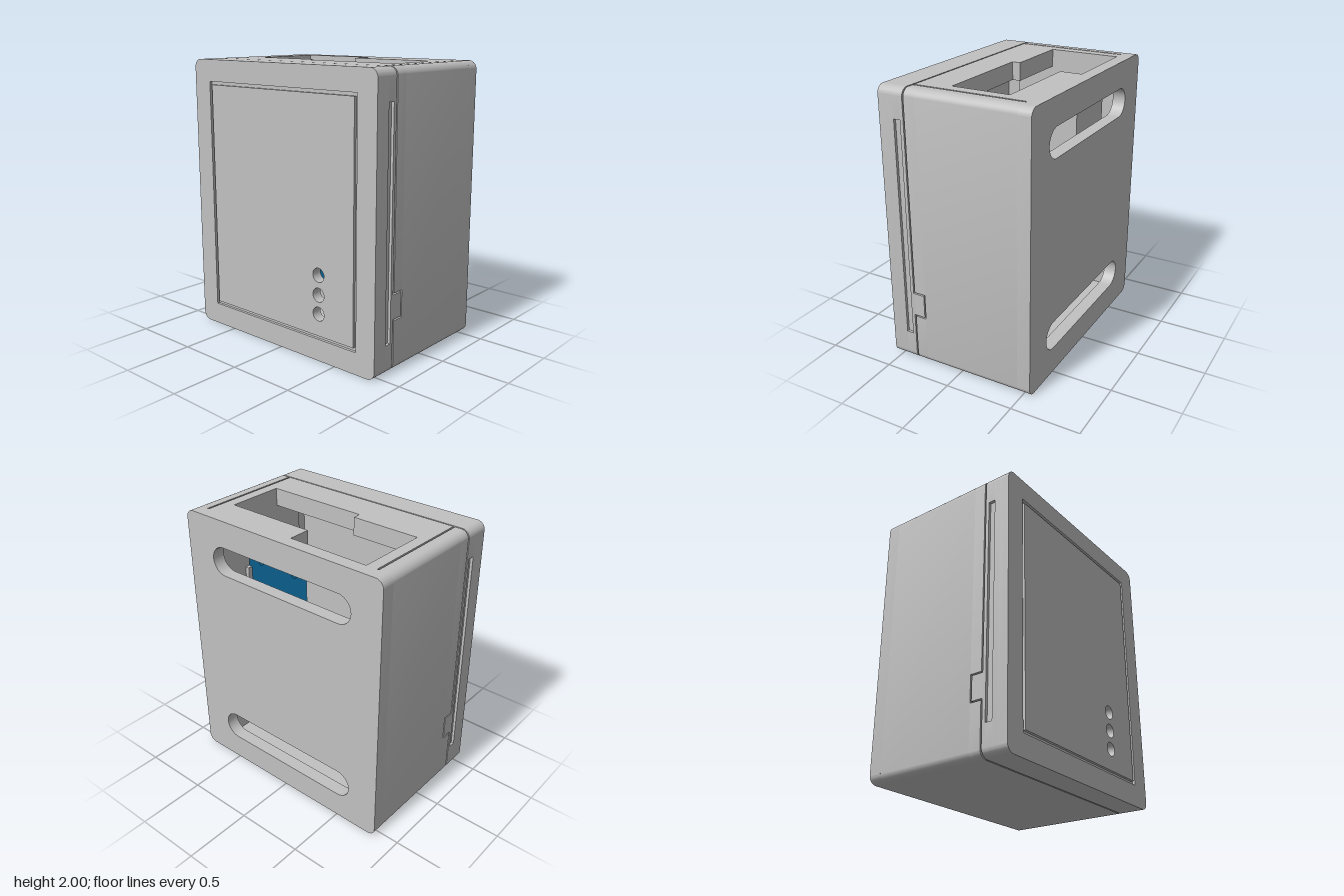
import * as THREE from 'three';
import { toCreasedNormals } from 'three/addons/utils/BufferGeometryUtils.js';

const W = 0.84, H = 2, R = 0.06, IN = 0.64;
const BACK = -0.555, INNER_BACK = -0.46, SEAM = 0.355, LID = 0.365, FRONT = 0.555;

export function createModel() {
  const model = new THREE.Group();
  model.name = 'electronicsEnclosure';
  const mat = (name, color) => {
    const m = new THREE.MeshStandardMaterial({ color });
    m.name = name;
    return m;
  };
  const grey = mat('caseGrey', 0xc1c1c1);
  const blue = mat('boardBlue', 0x0a5c8a);
  const black = mat('chipBlack', 0x3a3a3a);

  const add = (name, geometry, material) => {
    const mesh = new THREE.Mesh(geometry, material);
    mesh.name = name;
    model.add(mesh);
    return mesh;
  };
  // Box given by its limits on each axis
  const box = (name, x0, x1, y0, y1, z0, z1, material = grey) => {
    const g = new THREE.BoxGeometry(x1 - x0, y1 - y0, z1 - z0);
    g.translate((x0 + x1) / 2, (y0 + y1) / 2, (z0 + z1) / 2);
    return add(name, g, material);
  };
  // Outline in x-y extruded between two depths
  const slab = (name, shape, z0, z1, material = grey) => {
    const g = new THREE.ExtrudeGeometry(shape, { depth: z1 - z0, bevelEnabled: false, curveSegments: 12 });
    g.translate(0, 0, z0);
    return add(name, toCreasedNormals(g, 0.6), material);
  };
  const trace = (path, pts) => {
    pts.forEach(([x, y], i) => (i ? path.lineTo(x, y) : path.moveTo(x, y)));
    path.closePath();
    return path;
  };
  const rect = (path, x0, x1, y0, y1) => trace(path, [[x0, y0], [x1, y0], [x1, y1], [x0, y1]]);
  const circle = (x, y, r) => new THREE.Path().absarc(x, y, r, 0, Math.PI * 2, true);

  // Rounded case outline, optionally shrunk or with a notch down both sides
  const outline = (inset = 0, notch = 0) => {
    const w = W - inset, b = inset, t = H - inset, r = R - inset / 2;
    const s = new THREE.Shape();
    s.moveTo(-w + r, b);
    s.lineTo(w - r, b);
    s.absarc(w - r, b + r, r, -Math.PI / 2, 0, false);
    if (notch) [[w, 0.21], [w - notch, 0.21], [w - notch, 1.79], [w, 1.79]].forEach(p => s.lineTo(...p));
    s.absarc(w - r, t - r, r, 0, Math.PI / 2, false);
    s.absarc(-w + r, t - r, r, Math.PI / 2, Math.PI, false);
    if (notch) [[-w, 1.79], [-w + notch, 1.79], [-w + notch, 0.21], [-w, 0.21]].forEach(p => s.lineTo(...p));
    s.absarc(-w + r, b + r, r, Math.PI, Math.PI * 1.5, false);
    return s;
  };

  // Back wall with two long ventilation slots
  const back = outline();
  for (const y of [0.3, 1.7]) {
    const slot = new THREE.Path();
    slot.absarc(0.5, y, 0.105, -Math.PI / 2, Math.PI / 2, false);
    slot.absarc(-0.5, y, 0.105, Math.PI / 2, Math.PI * 1.5, false);
    slot.closePath();
    back.holes.push(slot);
  }
  slab('backWall', back, BACK, INNER_BACK);

  // Side wall section between two heights, rounded at the ends and slit from the top
  const sideSection = (s, y0, y1) => {
    const pts = [];
    const corner = (cy, a0) => {
      for (let i = 0; i <= 10; i++) {
        const a = a0 + (i / 10) * Math.PI / 2;
        pts.push([s * (W - R + R * Math.cos(a)), cy + R * Math.sin(a)]);
      }
    };
    pts.push([s * IN, y0]);
    if (y0 === 0) corner(R, -Math.PI / 2); else pts.push([s * W, y0]);
    if (y1 === H) {
      corner(H - R, 0);
      pts.push([s * 0.733, H], [s * 0.733, 1.85], [s * 0.72, 1.85], [s * 0.72, H]);
    } else pts.push([s * W, y1]);
    pts.push([s * IN, y1]);
    return trace(new THREE.Shape(), pts);
  };
  for (const s of [-1, 1]) {
    const side = s > 0 ? 'left' : 'right';
    slab(side + 'Wall', sideSection(s, 0, H), INNER_BACK, 0.27);
    slab(side + 'WallBelowLatch', sideSection(s, 0, 0.36), 0.27, SEAM);
    slab(side + 'WallAboveLatch', sideSection(s, 0.55, H), 0.27, SEAM);
    // Latch tongue of the lid
    const [a, b] = [s * 0.7, s * W].sort((p, q) => p - q);
    box(side + 'Latch', a, b, 0.37, 0.54, 0.28, LID);
    // Board guide rails
    for (const [z0, z1] of [[-0.23, -0.195], [-0.095, -0.05]]) {
      const [c, d] = [s * 0.61, s * IN].sort((p, q) => p - q);
      box(side + 'BoardRail', c, d, 0.12, 1.5, z0, z1);
    }
  }

  // Top panel around the stepped opening, and the floor
  box('topFront', -IN, IN, 1.87, H, 0.12, SEAM);
  box('topFrontStep', -IN, -0.13, 1.87, H, 0.06, 0.12);
  box('topBackStep', -0.04, IN, 1.87, H, INNER_BACK, -0.3);
  box('floor', -IN, IN, 0, 0.12, INNER_BACK, SEAM);
  box('boardLedge', -0.6, 0.6, 0.12, 0.24, -0.25, -0.05);

  // Lid rim in layers, with a shallow groove down each side
  const ring = (inset, notch) => {
    const s = outline(inset, notch);
    s.holes.push(rect(new THREE.Path(), -0.7, 0.7, 0.12, 1.88));
    return s;
  };
  slab('seamFlange', ring(0.02), SEAM - 0.01, LID + 0.005);
  slab('lidRimRear', ring(), LID, 0.39);
  slab('lidRimGrooved', ring(0, 0.02), 0.39, 0.44);
  slab('lidRimFront', ring(), 0.44, 0.48);

  // Lid face: base, raised frame and central panel with button holes
  const buttonY = [0.34, 0.475, 0.615];
  const pierce = shape => {
    buttonY.forEach(y => shape.holes.push(circle(0.36, y, 0.05)));
    return shape;
  };
  slab('lidBase', pierce(outline()), 0.48, 0.535);
  const frame = outline();
  frame.holes.push(rect(new THREE.Path(), -0.685, 0.685, 0.157, 1.845));
  slab('lidFrame', frame, 0.535, FRONT);
  slab('lidPanel', pierce(rect(new THREE.Shape(), -0.662, 0.662, 0.182, 1.822)), 0.535, FRONT);

  // Circuit board with mounting holes
  const board = rect(new THREE.Shape(), -IN, IN, 0.2, 1.7);
  for (const x of [-0.52, 0.2, 0.52]) for (const y of [0.45, 1.56]) board.holes.push(circle(x, y, 0.025));
  slab('circuitBoard', board, -0.19, -0.1, blue);

  // Components on the board
  buttonY.forEach(y => box('pushButton', 0.315, 0.405, y - 0.036, y + 0.036, -0.1, -0.05));
  box('rearConnector', -0.55, -0.11, 1.3, 1.74, -0.4, -0.19);
  box('rearConnectorClip', -0.44, -0.34, 1.74, 1.8, -0.35, -0.24);
  box('frontTerminal', -0.55, -0.32, 1.3, 1.68, -0.1, 0.05);
  box('displayHeader', -0.04, 0.55, 1.58, 1.71, -0.13, -0.095);
  box('blackModule', -0.32, 0.08, 0.95, 1.5, -0.06, 0.02, black);
  box('moduleBase', -0.26, 0.02, 1.0, 1.45, -0.1, -0.06, black);
  for (const x of [0.08, 0.2, 0.32]) box('smallChip', x - 0.025, x + 0.025, 1.1, 1.16, -0.1, -0.07, black);
  for (const x of [0.1, 0.3, 0.48]) box('rearChip', x - 0.06, x + 0.06, 1.0, 1.2, -0.225, -0.19);
  for (const x of [-0.44, -0.23, -0.12]) box('connectorPin', x - 0.012, x + 0.012, 1.52, 1.56, -0.1, -0.02);

  return model;
}
